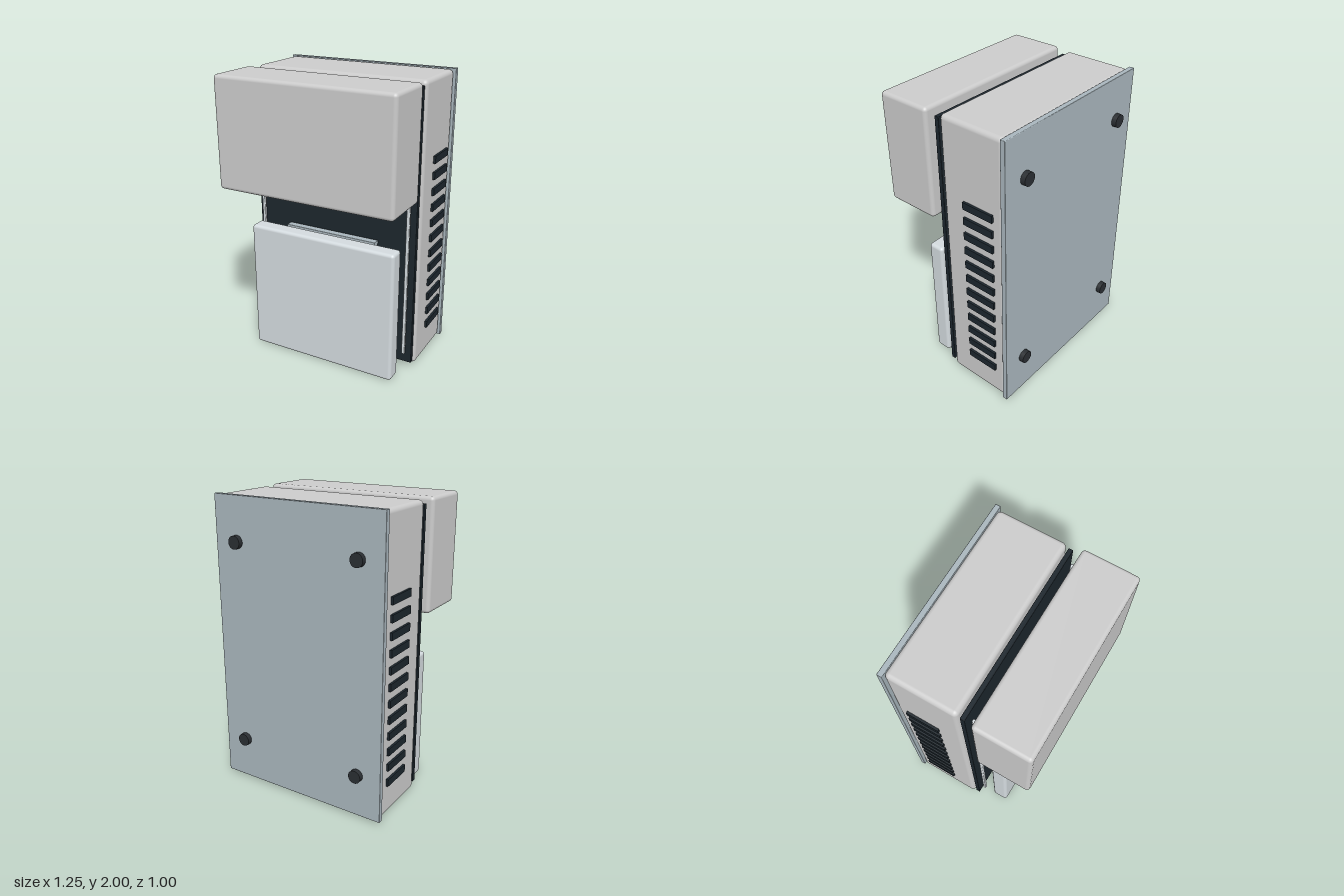
import * as THREE from 'three';
import { RoundedBoxGeometry } from 'three/addons/geometries/RoundedBoxGeometry.js';

const mat = (color) => new THREE.MeshStandardMaterial({ color });

export function createModel() {
  const model = new THREE.Group();
  model.name = 'cabinet';
  const shell = mat(0xcccccc);
  const light = mat(0xd3dade);
  const steel = mat(0xa9b6bd);
  const dark = mat(0x1c262d);
  const rubber = mat(0x2a2e32);

  // Box given by its limits on each axis, with an edge radius (0 = sharp)
  function box(name, [x0, x1], [y0, y1], [z0, z1], material, radius = 0, parent = model) {
    const size = [x1 - x0, y1 - y0, z1 - z0];
    const geometry = radius > 0
      ? new RoundedBoxGeometry(...size, 3, radius)
      : new THREE.BoxGeometry(...size);
    const mesh = new THREE.Mesh(geometry, material);
    mesh.name = name;
    mesh.position.set((x0 + x1) / 2, (y0 + y1) / 2, (z0 + z1) / 2);
    parent.add(mesh);
    return mesh;
  }

  // Main housing and its back plate
  box('housing', [-0.61, 0.61], [0.02, 1.995], [-0.435, 0.03], shell, 0.03);
  box('backPlate', [-0.625, 0.625], [0.015, 2], [-0.465, -0.43], steel, 0.004);

  // Dark front panel with the floating covers ahead of it
  box('darkPanel', [-0.6, 0.6], [0.05, 1.965], [0.043, 0.073], dark, 0.003);
  box('upperCover', [-0.625, 0.625], [1.252, 2], [0.122, 0.497], shell, 0.025);
  box('innerPlate', [-0.338, 0.338], [0.015, 0.93], [0.09, 0.142], steel, 0.003);
  box('lowerCover', [-0.54, 0.54], [0.003, 0.936], [0.165, 0.28], light, 0.022);

  for (const side of [1, -1]) {
    const label = side > 0 ? 'left' : 'right';

    // Slim vertical rail
    const rx = side * 0.553;
    box(label + 'Rail', [rx - 0.011, rx + 0.011], [0.13, 1.885], [0.089, 0.111], light, 0.006);

    // Column of vent slots
    const vents = new THREE.Group();
    vents.name = label + 'Vents';
    model.add(vents);
    for (let i = 0; i < 12; i++) {
      const y = 0.254 + i * 0.1098;
      const vx = side * 0.614;
      box('vent', [vx - 0.012, vx + 0.012], [y - 0.025, y + 0.025], [-0.362, -0.135], dark, 0, vents);
    }

    // Round feet on the back plate
    for (const y of [0.31, 1.705]) {
      const foot = new THREE.Mesh(new THREE.CylinderGeometry(0.044, 0.044, 0.036, 24), rubber);
      foot.name = label + 'Foot';
      foot.rotation.x = Math.PI / 2;
      foot.position.set(side * 0.453, y, -0.48);
      model.add(foot);
    }
  }

  return model;
}
